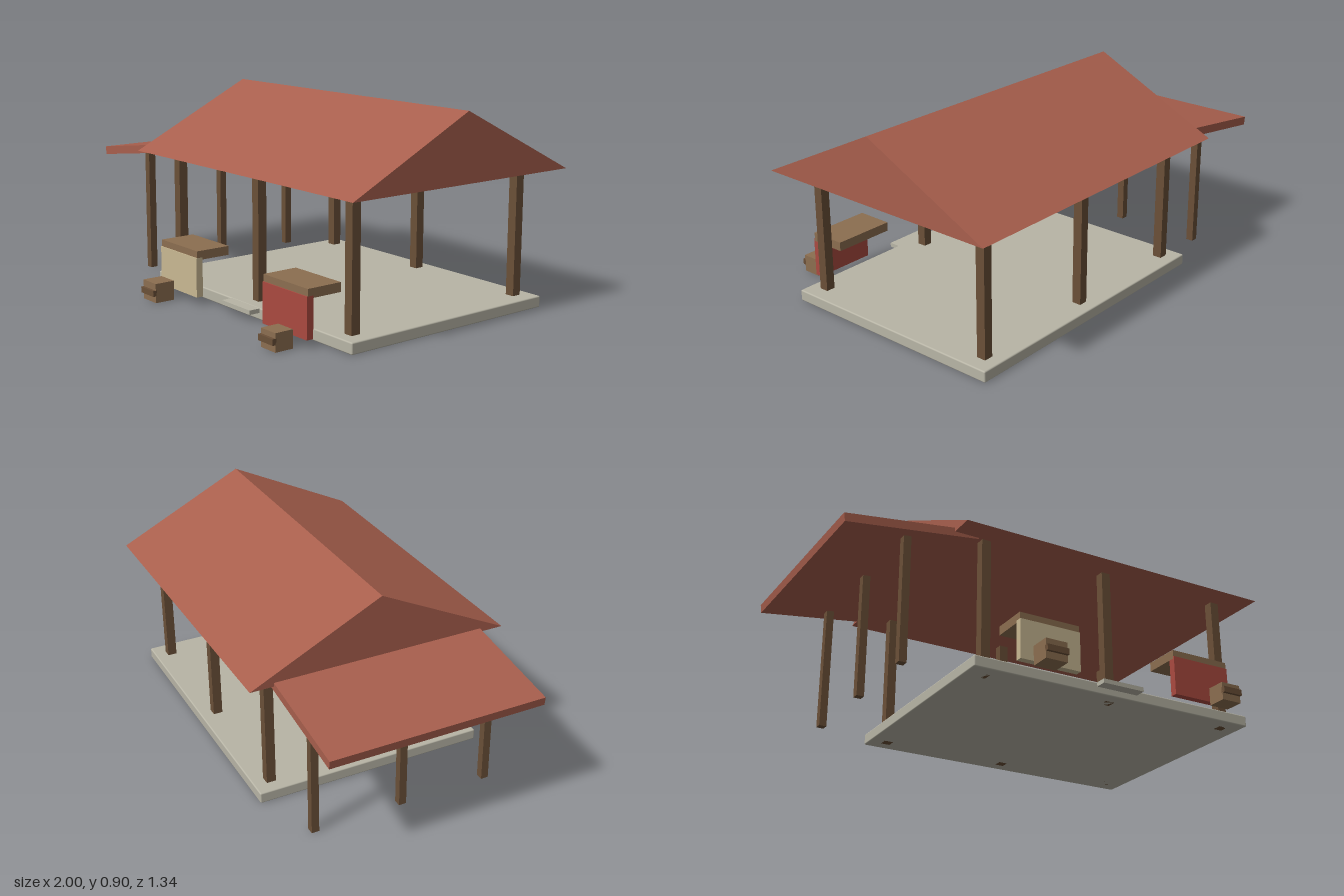
import * as THREE from 'three';
import { RoundedBoxGeometry } from 'three/addons/geometries/RoundedBoxGeometry.js';

const paint = (color) => new THREE.MeshStandardMaterial({ color });
const roofRed = paint(0xa85f4d);
const darkWood = paint(0x6b5038);
const lightWood = paint(0x8c6e50);
const concrete = paint(0xb8b5a6);
const cream = paint(0xc9b993);
const red = paint(0xab4a40);

// Box given by its low and high corners
function block(name, material, [x0, y0, z0], [x1, y1, z1]) {
  const mesh = new THREE.Mesh(new THREE.BoxGeometry(x1 - x0, y1 - y0, z1 - z0), material);
  mesh.position.set((x0 + x1) / 2, (y0 + y1) / 2, (z0 + z1) / 2);
  mesh.name = name;
  return mesh;
}

function post(name, x, z, width, height) {
  const h = width / 2;
  return block(name, darkWood, [x - h, 0, z - h], [x + h, height, z + h]);
}

// Serving counter: thin front panel with a shelf on top
function counter(name, material, x0, x1) {
  const group = new THREE.Group();
  group.name = name;
  group.add(
    block('counterPanel', material, [x0, 0.035, 0.508], [x1, 0.21, 0.54]),
    block('counterTop', lightWood, [x0, 0.2, 0.37], [x1, 0.24, 0.535]),
  );
  return group;
}

// Small crate with a rail across its front
function crate(name, x, width, height, back) {
  const h = width / 2;
  const group = new THREE.Group();
  group.name = name;
  group.add(
    block('crateBody', lightWood, [x - h, 0, back], [x + h, height, 0.661]),
    block('crateRail', darkWood, [x - h, 0.03, 0.655], [x + h, 0.056, 0.674]),
  );
  return group;
}

export function createModel() {
  const model = new THREE.Group();
  model.name = 'pavilion';

  // Floor and front step
  const floor = new THREE.Mesh(new RoundedBoxGeometry(1.37, 0.05, 1.065, 2, 0.006), concrete);
  floor.position.set(0.245, 0.025, -0.08);
  floor.name = 'floor';
  model.add(floor, block('step', concrete, [0.14, 0.03, 0.43], [0.34, 0.049, 0.503]));

  // Solid gable roof, its triangle extruded along x
  const gable = new THREE.Shape([
    new THREE.Vector2(-0.51, 0.61),
    new THREE.Vector2(0.67, 0.61),
    new THREE.Vector2(0.08, 0.9),
  ]);
  const roofGeometry = new THREE.ExtrudeGeometry(gable, { depth: 1.505, bevelEnabled: false });
  roofGeometry.rotateY(Math.PI / 2);
  const roof = new THREE.Mesh(roofGeometry, roofRed);
  roof.position.x = -0.51;
  roof.name = 'mainRoof';
  model.add(roof);

  // Main posts
  for (const x of [-0.36, 0.24, 0.843]) {
    for (const z of [0.377, -0.535]) model.add(post('mainPost', x, z, 0.042, 0.615));
  }

  // Sloping side roof and its posts
  const sideRoof = new THREE.Mesh(new THREE.BoxGeometry(0.606, 0.038, 0.965), roofRed);
  sideRoof.position.set(-0.7, 0.581, -0.083);
  sideRoof.rotation.z = 0.14;
  sideRoof.name = 'sideRoof';
  model.add(sideRoof);
  for (const z of [0.33, -0.08, -0.49]) model.add(post('sidePost', -0.7, z, 0.034, 0.563));

  // Counters and crates along the front
  model.add(
    counter('creamCounter', cream, -0.28, 0.003),
    counter('redCounter', red, 0.48, 0.765),
    crate('largeCrate', -0.186, 0.1, 0.086, 0.568),
    crate('smallCrate', 0.678, 0.093, 0.078, 0.576),
  );
  return model;
}
